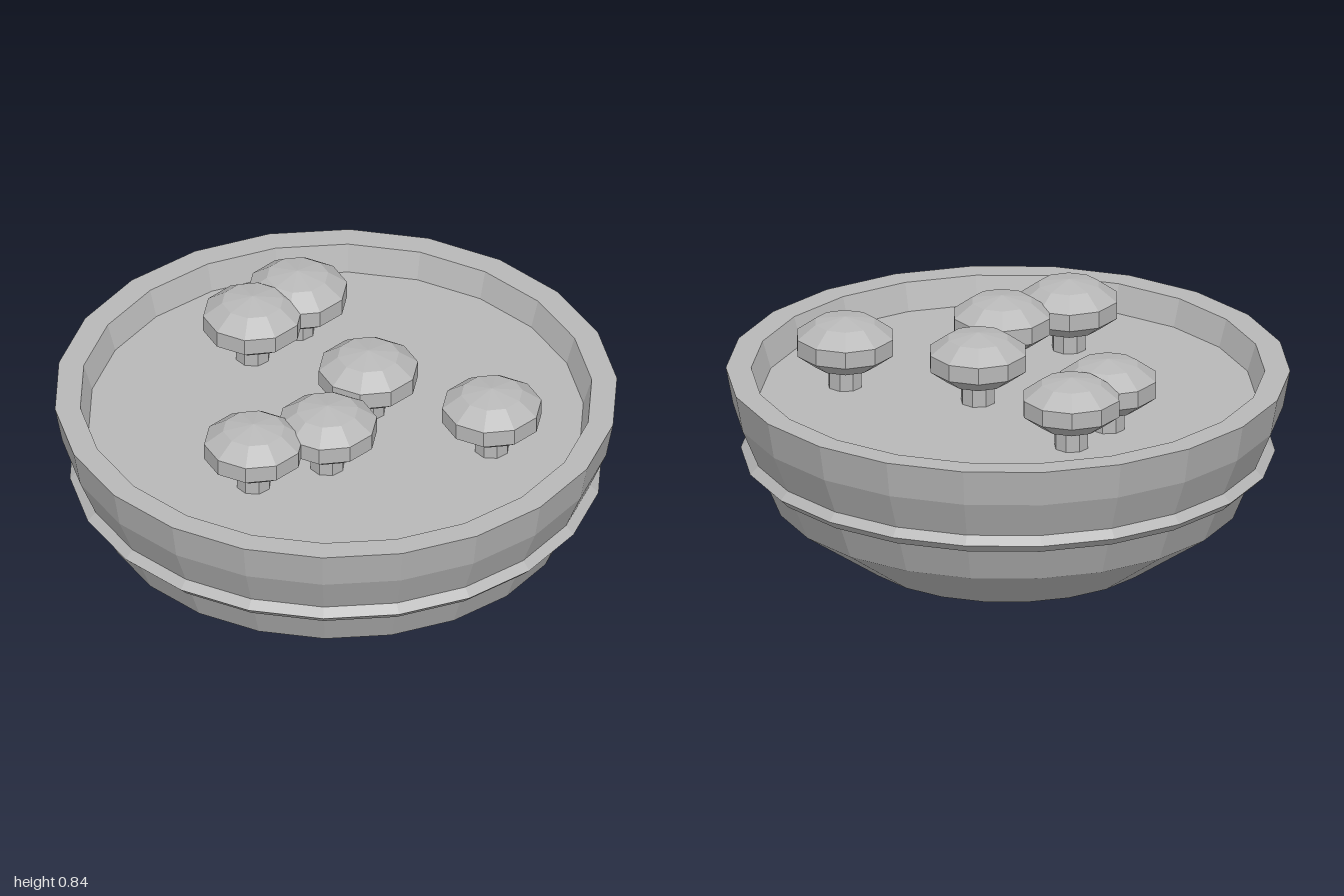
import * as THREE from 'three';

const SIDES = 22;

export function createModel() {
  const model = new THREE.Group();
  model.name = 'mushroomSoupBowl';
  const grey = new THREE.MeshStandardMaterial({ color: 0xb8b8b8, flatShading: true });
  grey.name = 'plain grey';

  const add = (parent, name, geometry, y = 0) => {
    const mesh = new THREE.Mesh(geometry, grey);
    mesh.name = name;
    mesh.position.y = y;
    parent.add(mesh);
    return mesh;
  };

  // Bowl: base, outer wall, flat rim and inner wall in one profile
  const profile = [
    [0, 0], [0.54, 0], [0.835, 0.205], [0.975, 0.54], [1, 0.675],
    [0.91, 0.675], [0.88, 0.575],
  ].map(([r, y]) => new THREE.Vector2(r, y));
  const bowl = new THREE.LatheGeometry(profile, SIDES);
  bowl.rotateY(Math.PI / 2);
  add(model, 'bowl', bowl);

  // Raised band around the outside
  const band = new THREE.TorusGeometry(0.914, 0.033, 4, SIDES);
  band.rotateX(Math.PI / 2);
  add(model, 'band', band, 0.372);

  // Soup surface
  const soup = new THREE.CircleGeometry(0.88, SIDES);
  soup.rotateX(-Math.PI / 2);
  add(model, 'soup', soup, 0.575);

  // Mushrooms: squashed low-poly cap on a short stem
  const cap = new THREE.SphereGeometry(0.187, 10, 5);
  cap.scale(1, 0.535, 1);
  const stem = new THREE.CylinderGeometry(0.062, 0.062, 0.13, 8);
  const spots = [
    [-0.36, -0.4], [-0.43, -0.19], [0.085, -0.085],
    [0.58, -0.08], [0.11, 0.28], [-0.07, 0.5],
  ];
  for (const [x, z] of spots) {
    const mushroom = new THREE.Group();
    mushroom.name = 'mushroom';
    mushroom.position.set(x, 0, z);
    add(mushroom, 'cap', cap, 0.738);
    add(mushroom, 'stem', stem, 0.62);
    model.add(mushroom);
  }
  return model;
}
